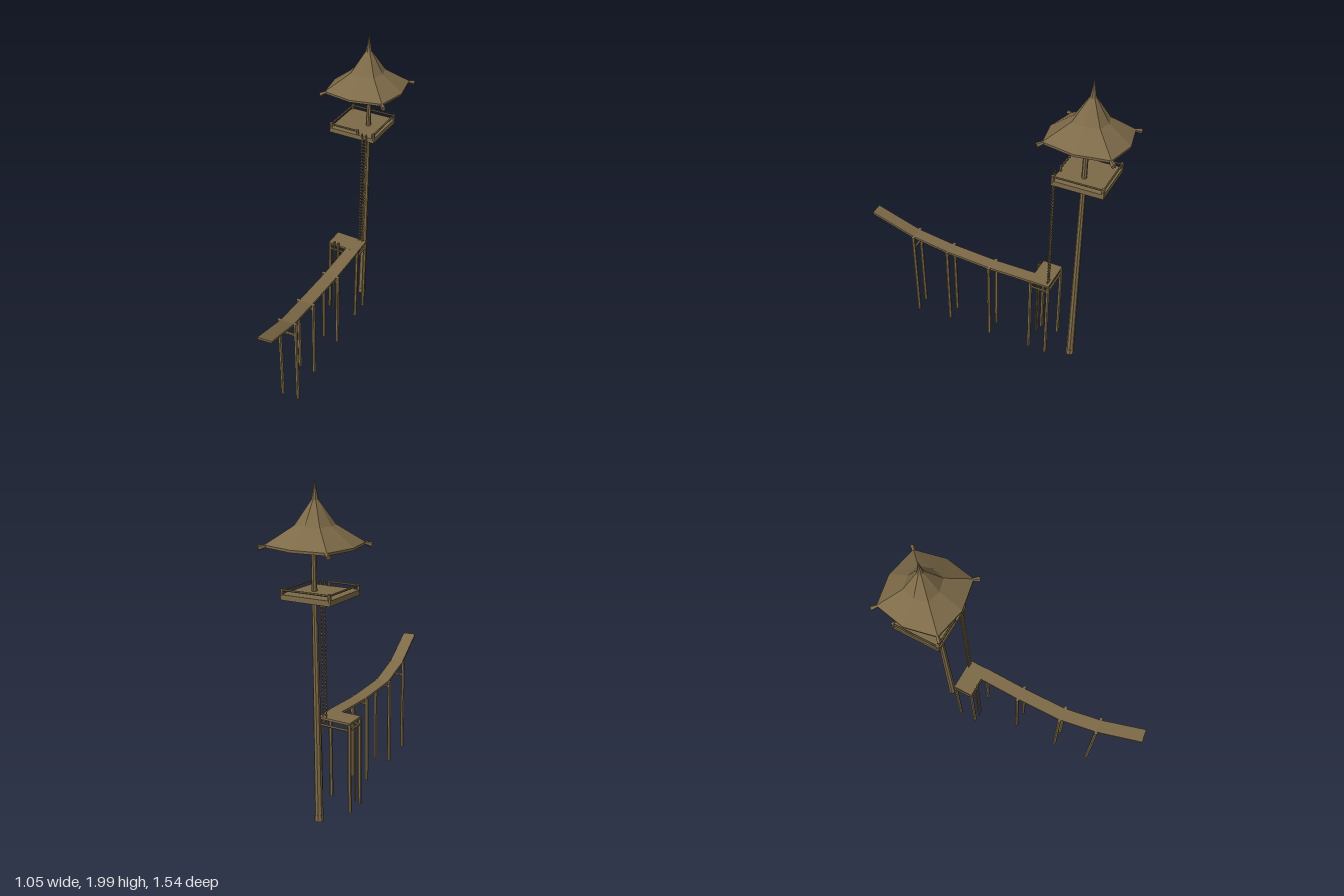
import * as THREE from 'three';

const V = (x, y, z) => new THREE.Vector3(x, y, z);

export function createModel() {
  const model = new THREE.Group();
  model.name = 'lookoutTowerAndJetty';
  const wood = new THREE.MeshStandardMaterial({ color: 0x7d6a48, flatShading: true });
  wood.name = 'weatheredWood';

  const add = (geometry, name, parent = model) => {
    const mesh = new THREE.Mesh(geometry, wood);
    mesh.name = name;
    parent.add(mesh);
    return mesh;
  };
  const group = (name) => {
    const g = new THREE.Group();
    g.name = name;
    model.add(g);
    return g;
  };
  // Round pole or beam between two points
  const pole = (a, b, r, name, parent, rEnd = r, sides = 6) => {
    const m = add(new THREE.CylinderGeometry(rEnd, r, a.distanceTo(b), sides), name, parent);
    m.position.copy(a).lerp(b, 0.5);
    m.quaternion.setFromUnitVectors(V(0, 1, 0), b.clone().sub(a).normalize());
    return m;
  };
  const box = (w, h, d, x, y, z, name, parent) => {
    const m = add(new THREE.BoxGeometry(w, h, d), name, parent);
    m.position.set(x, y, z);
    return m;
  };
  // Skin over a list of equal-sized rings of points
  const loft = (rings, caps) => {
    const n = rings[0].length, index = [];
    for (let i = 0; i < rings.length - 1; i++) {
      for (let k = 0; k < n; k++) {
        const a = i * n + k, b = i * n + (k + 1) % n;
        index.push(a, b, a + n, b, b + n, a + n);
      }
    }
    if (caps) {
      const e = (rings.length - 1) * n;
      for (let k = 1; k < n - 1; k++) index.push(0, k + 1, k, e, e + k, e + k + 1);
    }
    const g = new THREE.BufferGeometry().setFromPoints(rings.flat());
    g.setIndex(index);
    const flat = g.toNonIndexed();
    flat.computeVertexNormals();
    return flat;
  };

  // Tall trunk carrying the lookout
  const trunkX = -0.212, trunkZ = -0.484;
  pole(V(trunkX, 0, trunkZ), V(trunkX, 0.04, trunkZ), 0.03, 'trunkFoot', model, 0.027, 8);
  pole(V(trunkX, 0.03, trunkZ), V(trunkX, 1.8, trunkZ), 0.026, 'trunk', model, 0.013, 8);

  // Flared eight-sided roof: outer skin down to the eave, then back up inside
  const roof = group('roof');
  const cx = -0.233, cz = -0.482, turn = 0.346;
  const roofPoint = (angle, r, y) => {
    const x = Math.cos(angle) * r;
    return V(cx + x, y + 0.03 * x, cz + Math.sin(angle) * r);
  };
  const profile = [ // height, radius at hips, radius between hips
    [1.99, 0.001, 0.001], [1.89, 0.019, 0.019], [1.76, 0.112, 0.1],
    [1.662, 0.273, 0.232], [1.648, 0.272, 0.231], [1.745, 0.11, 0.098], [1.86, 0.002, 0.002],
  ];
  add(loft(profile.map(([y, hip, mid]) => Array.from({ length: 8 }, (_, k) =>
    roofPoint(turn + k * Math.PI / 4, k % 2 ? mid : hip, y)))), 'roofSkin', roof);
  for (let k = 0; k < 4; k++) {
    const a = turn + k * Math.PI / 2;
    pole(roofPoint(a, 0.255, 1.66), roofPoint(a, 0.305, 1.646), 0.008, 'hipHorn', roof, 0.015, 5);
  }

  // Square lookout platform with a low railing, open at the ladder
  const platform = group('lookoutPlatform');
  platform.position.set(-0.252, 0, -0.469);
  platform.rotation.y = 0.445;
  const h = 0.148;
  box(0.3, 0.018, 0.3, 0, 1.392, 0, 'platformFloor', platform);
  for (const s of [-1, 1]) {
    box(0.31, 0.03, 0.014, 0, 1.386, s * h, 'platformEdge', platform);
    box(0.014, 0.03, 0.31, s * h, 1.386, 0, 'platformEdge', platform);
    pole(V(s * h, 1.425, -h), V(s * h, 1.425, h), 0.006, 'sideRail', platform);
    for (const t of [-1, 1]) {
      pole(V(s * h, 1.39, t * h), V(s * h, 1.434, t * h), 0.01, 'railPost', platform);
    }
  }
  pole(V(-h, 1.425, -h), V(h, 1.425, -h), 0.006, 'backRail', platform);
  pole(V(-h, 1.425, h), V(0.04, 1.425, h), 0.006, 'frontRail', platform);
  pole(V(0.04, 1.39, h), V(0.04, 1.434, h), 0.008, 'railPost', platform);

  // Rope ladder from the platform down to the deck
  const ladder = group('ropeLadder');
  ladder.position.set(-0.097, 0, -0.362);
  ladder.rotation.y = 0.445;
  for (const s of [-1, 1]) {
    pole(V(s * 0.012, 0.595, 0), V(s * 0.012, 1.42, 0), 0.0025, 'ladderRope', ladder);
    pole(V(s * 0.014, 1.3, 0), V(s * 0.014, 1.425, 0), 0.005, 'ladderHanger', ladder);
  }
  for (let i = 0; i < 35; i++) {
    box(0.036, 0.006, 0.008, 0, 0.61 + i * 0.0228, 0, 'ladderRung', ladder);
  }

  // Landing deck on four piles
  const deck = group('landingDeck');
  deck.position.set(-0.141, 0, -0.286);
  deck.rotation.y = 0.445;
  const dw = 0.109, dd = 0.066;
  box(dw * 2, 0.014, dd * 2, 0, 0.588, 0, 'deckFloor', deck);
  for (const s of [-1, 1]) {
    for (const t of [-1, 1]) {
      pole(V(s * (dw - 0.006), 0.01, t * (dd - 0.006)), V(s * (dw - 0.006), 0.585, t * (dd - 0.006)), 0.012, 'deckPile', deck);
    }
    pole(V(-dw, 0.545, s * (dd - 0.006)), V(dw, 0.545, s * (dd - 0.006)), 0.008, 'deckBeam', deck);
    pole(V(s * (dw - 0.006), 0.545, -dd), V(s * (dw - 0.006), 0.545, dd), 0.008, 'deckBeam', deck);
    // Boarding ladder at the front edge
    pole(V(-0.048 + s * 0.016, 0.01, dd + 0.005), V(-0.048 + s * 0.016, 0.62, dd + 0.005), 0.006, 'boardingLadderRail', deck);
  }

  // Curved walkway rising toward its far end
  const walkway = group('walkway');
  const path = [
    V(-0.053, 0.595, -0.258), V(0.068, 0.585, 0.004), V(0.203, 0.6, 0.287),
    V(0.33, 0.655, 0.5), V(0.488, 0.785, 0.742),
  ];
  const sideAt = path.map((p, i) => {
    const t = path[Math.min(i + 1, 4)].clone().sub(path[Math.max(i - 1, 0)]).setY(0).normalize();
    return V(t.z, 0, -t.x);
  });
  add(loft(path.map((p, i) => [[1, 0], [-1, 0], [-1, -0.015], [1, -0.015]].map(([s, y]) =>
    p.clone().addScaledVector(sideAt[i], s * 0.0435).setY(p.y + y))), true), 'walkwayFloor', walkway);

  // Pile pairs with a cross beam under the walkway
  for (const i of [1, 2, 3]) {
    const ends = [-1, 1].map((s) => path[i].clone().addScaledVector(sideAt[i], s * 0.052));
    for (const e of ends) {
      pole(V(e.x, 0.01, e.z), e, 0.012, 'walkwayPile', walkway);
    }
    const y = Math.min(path[i].y - 0.035, 0.565);
    pole(ends[0].clone().setY(y), ends[1].clone().setY(y), 0.009, 'crossBeam', walkway);
  }
  return model;
}
